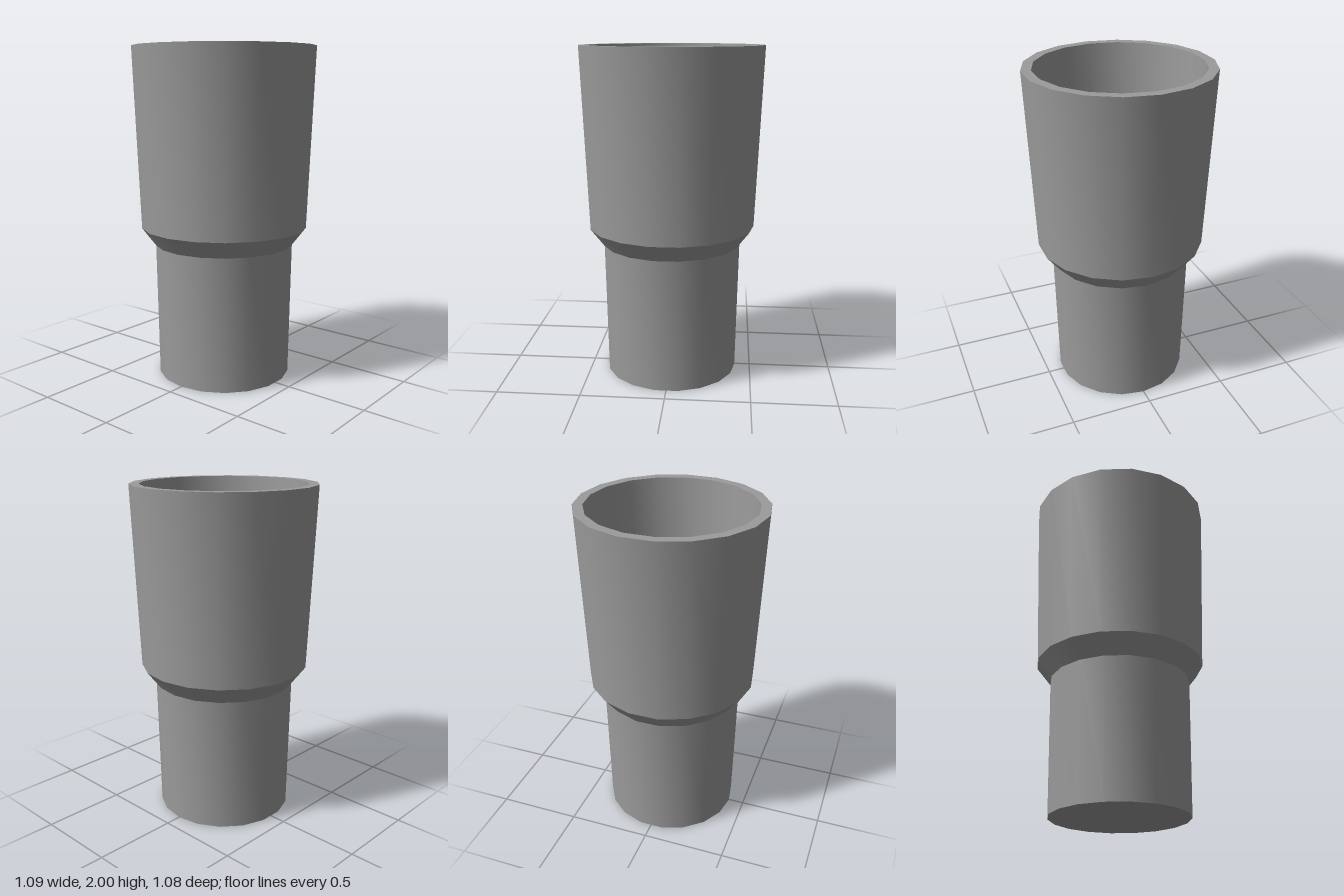
import * as THREE from 'three';
import { toCreasedNormals } from 'three/addons/utils/BufferGeometryUtils.js';

const SIDES = 18;

// Closed wall profile [radius, height]: up the outside, over the rim, down the inside
const PROFILE = [
  [0, 0], [0.405, 0],              // base
  [0.42, 0.812], [0.503, 0.92],    // grip and flared shoulder
  [0.546, 2], [0.488, 2],          // bowl and flat rim
  [0.445, 0.94], [0.372, 0.83],    // inner wall and inner shoulder
  [0.361, 0.06], [0, 0.06],        // inner floor
];

export function createModel() {
  const group = new THREE.Group();
  group.name = 'tumbler';

  const points = PROFILE.map(([r, y]) => new THREE.Vector2(r, y));
  // Start at +x so a corner lies on the x axis
  const lathe = new THREE.LatheGeometry(points, SIDES, Math.PI / 2);
  // Smooth around the wall, sharp at the rim, shoulder and base
  const geometry = toCreasedNormals(lathe, 0.5);

  const cup = new THREE.Mesh(geometry, new THREE.MeshStandardMaterial({ color: 0x9b9b9b }));
  cup.name = 'cup';
  group.add(cup);
  return group;
}
